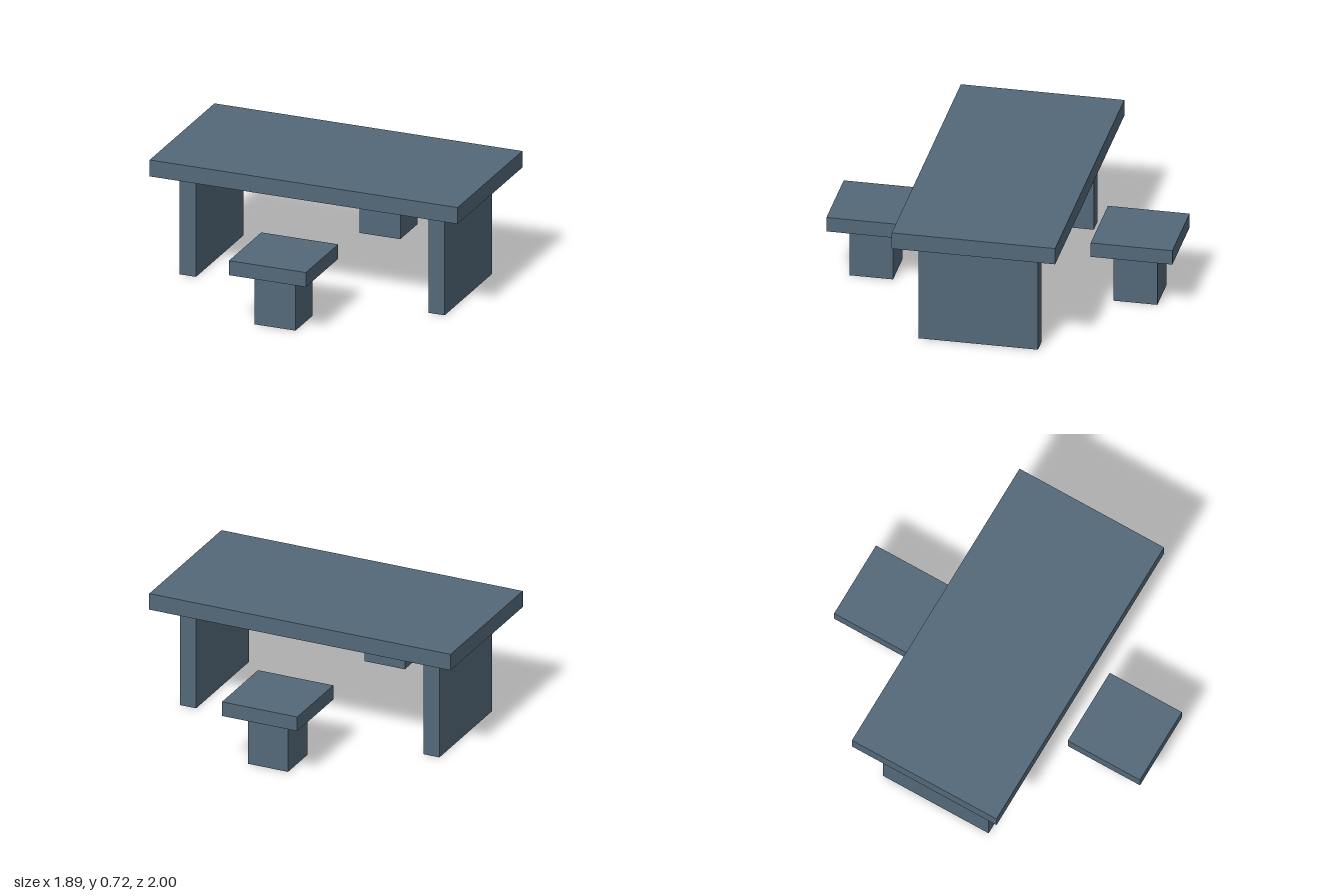
import * as THREE from 'three';

export function createModel() {
  const model = new THREE.Group();
  model.name = 'tableWithStools';
  const slate = new THREE.MeshStandardMaterial({ name: 'slate', color: 0x536878 });

  // Box centred on x and z, spanning bottom to top in y
  const slab = (parent, name, width, bottom, top, depth, x = 0, z = 0) => {
    const mesh = new THREE.Mesh(new THREE.BoxGeometry(width, top - bottom, depth), slate);
    mesh.name = name;
    mesh.position.set(x, (bottom + top) / 2, z);
    parent.add(mesh);
  };

  // Table: thick top on two panel legs
  const table = new THREE.Group();
  table.name = 'table';
  slab(table, 'tableTop', 1.89, 0.622, 0.722, 0.945);
  for (const [side, x] of [['left', 0.762], ['right', -0.764]]) {
    slab(table, side + 'Leg', 0.1, 0, 0.622, 0.69, x);
  }
  model.add(table);

  // Stools: square seat on a square post, front and back
  for (const [name, z] of [['frontStool', 0.764], ['backStool', -0.764]]) {
    const stool = new THREE.Group();
    stool.name = name;
    stool.position.z = z;
    slab(stool, 'seat', 0.472, 0.322, 0.41, 0.472);
    slab(stool, 'post', 0.252, 0, 0.322, 0.252);
    model.add(stool);
  }
  return model;
}
